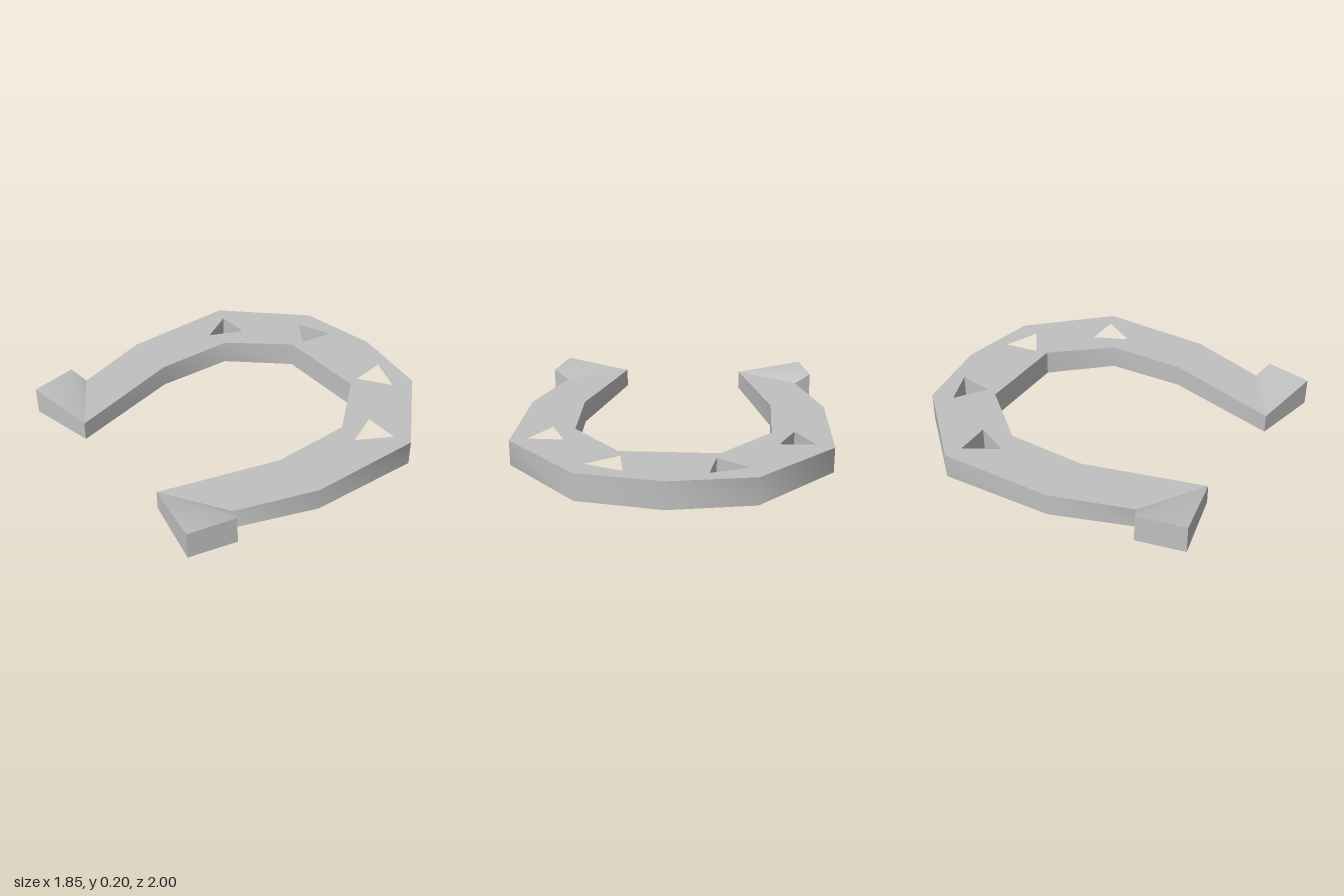
import * as THREE from 'three';
import { toCreasedNormals } from 'three/addons/utils/BufferGeometryUtils.js';

// Plan outlines of the +x half as [x, z]
const OUTER = [[0.492, -0.918], [0.925, -0.475], [0.915, 0.205], [0.76, 0.675]];
const INNER = [[0.385, 0.91], [0.585, 0.215], [0.575, -0.26], [0.285, -0.595]];
const HOLES = [
  [[0.23, -0.875], [0.45, -0.79], [0.265, -0.665]],
  [[0.615, -0.44], [0.825, -0.435], [0.71, -0.235]],
];
const HEEL = [[0.385, 0.91], [0.76, 0.675], [0.86, 0.72], [0.8, 1]];

// The plate tapers slightly towards the heels
const bottomY = (z) => 0.018 + 0.018 * z;
const topY = (z) => 0.156 - 0.009 * z;

const mirror = (pts) => pts.map(([x, z]) => [-x, z]);
const toVectors = (pts) => pts.map(([x, z]) => new THREE.Vector2(x, -z));

function plateGeometry() {
  const half = [...OUTER, ...INNER];
  const shape = new THREE.Shape(toVectors([[0, -1], ...half, ...mirror(half).reverse()]));
  for (const hole of HOLES) {
    for (const pts of [hole, mirror(hole)]) shape.holes.push(new THREE.Path(toVectors(pts)));
  }
  const geo = new THREE.ExtrudeGeometry(shape, { depth: 1, bevelEnabled: false });
  geo.rotateX(-Math.PI / 2);
  const p = geo.attributes.position;
  for (let i = 0; i < p.count; i++) {
    const z = p.getZ(i);
    p.setY(i, p.getY(i) > 0.5 ? topY(z) : bottomY(z));
  }
  return toCreasedNormals(geo, 0.85);
}

// Wedge rising from the plate edge to the raised outer corners
function heelGeometry(side) {
  const low = HEEL.map(([x, z]) => [side * x, bottomY(z), z]);
  const high = HEEL.map(([x, z], i) => [side * x, i < 2 ? topY(z) : 0.2, z]);
  const tris = [
    [high[0], high[2], high[1]], [high[0], high[3], high[2]],
    [low[0], low[1], low[2]], [low[0], low[2], low[3]],
  ];
  for (const i of [1, 2, 3]) {
    const j = (i + 1) % 4;
    tris.push([low[i], high[i], high[j]], [low[i], high[j], low[j]]);
  }
  const flat = tris.flatMap((t) => (side > 0 ? t : [...t].reverse())).flat();
  const geo = new THREE.BufferGeometry();
  geo.setAttribute('position', new THREE.Float32BufferAttribute(flat, 3));
  geo.computeVertexNormals();
  return toCreasedNormals(geo, 0.6);
}

export function createModel() {
  const group = new THREE.Group();
  group.name = 'horseshoe';
  const steel = new THREE.MeshStandardMaterial({ color: 0xc0c0c0 });
  steel.name = 'grey steel';

  const add = (name, geo) => {
    const mesh = new THREE.Mesh(geo, steel);
    mesh.name = name;
    group.add(mesh);
  };
  add('shoePlate', plateGeometry());
  add('leftHeel', heelGeometry(1));
  add('rightHeel', heelGeometry(-1));
  return group;
}
